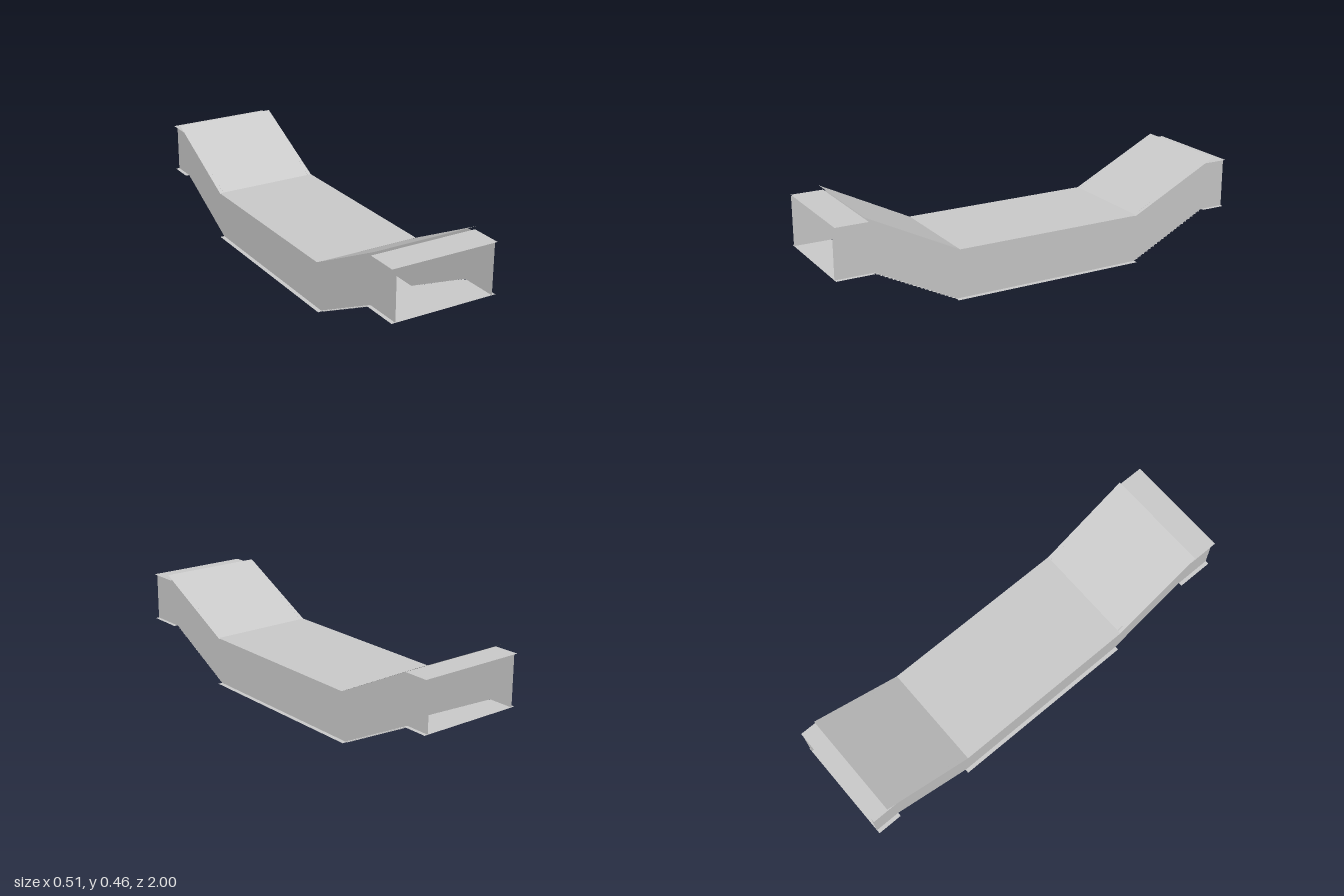
import * as THREE from 'three';

const material = new THREE.MeshStandardMaterial({ color: 0xcccccc, side: THREE.DoubleSide, flatShading: true });

// Sheet swept across x along a path of [z, y] points
function sheet(name, path, halfWidth) {
  const pos = [];
  for (let i = 0; i < path.length - 1; i++) {
    const [z0, y0] = path[i], [z1, y1] = path[i + 1];
    const a = [-halfWidth, y0, z0], b = [halfWidth, y0, z0];
    const c = [halfWidth, y1, z1], d = [-halfWidth, y1, z1];
    pos.push(...a, ...c, ...b, ...a, ...d, ...c);
  }
  const geo = new THREE.BufferGeometry();
  geo.setAttribute('position', new THREE.Float32BufferAttribute(pos, 3));
  geo.computeVertexNormals();
  const mesh = new THREE.Mesh(geo, material);
  mesh.name = name;
  return mesh;
}

// Stair path climbing from z0 to z1: riser, then tread
function stairPath(z0, z1, height, count) {
  const path = [[z0, 0]];
  for (let i = 1; i <= count; i++) {
    const y = (height * i) / count;
    path.push([z0 + ((z1 - z0) * (i - 1)) / count, y]);
    path.push([z0 + ((z1 - z0) * i) / count, y]);
  }
  return path;
}

export function createModel() {
  const group = new THREE.Group();
  group.name = 'underpass';
  const slabHalf = 0.255, stairHalf = 0.234, wallX = 0.237;

  // Floors and landings
  group.add(sheet('tunnelFloor', [[0.44, 0.003], [-0.5, 0.003]], slabHalf));
  group.add(sheet('frontLanding', [[1, 0.2], [0.825, 0.2]], slabHalf));
  group.add(sheet('backLanding', [[-0.88, 0.2], [-1, 0.2]], slabHalf));

  // Stairs at both ends
  group.add(sheet('frontStairs', stairPath(0.44, 0.83, 0.197, 21), stairHalf));
  group.add(sheet('backStairs', stairPath(-0.5, -0.89, 0.197, 21), stairHalf));

  // Roof: flat middle, slopes running slightly past the flat end roofs
  group.add(sheet('tunnelRoof', [[0.43, 0.237], [-0.49, 0.237]], slabHalf));
  group.add(sheet('frontRoofSlope', [[0.865, 0.455], [0.425, 0.234]], slabHalf));
  group.add(sheet('backRoofSlope', [[-0.485, 0.234], [-0.925, 0.455]], slabHalf));
  group.add(sheet('frontRoof', [[0.995, 0.432], [0.845, 0.432]], slabHalf));
  group.add(sheet('backRoof', [[-0.88, 0.432], [-1, 0.432]], slabHalf));

  // Side walls, outlined in z and y
  const outline = [
    [1, 0.2], [1, 0.432], [0.82, 0.432], [0.43, 0.237], [-0.49, 0.237], [-0.88, 0.432],
    [-1, 0.432], [-1, 0.2], [-0.88, 0.2], [-0.495, 0.005], [0.435, 0.005], [0.82, 0.2],
  ];
  const shape = new THREE.Shape(outline.map(([z, y]) => new THREE.Vector2(-z, y)));
  const wallGeo = new THREE.ShapeGeometry(shape).rotateY(Math.PI / 2);
  for (const [name, side] of [['leftWall', 1], ['rightWall', -1]]) {
    const wall = new THREE.Mesh(wallGeo, material);
    wall.name = name;
    wall.position.x = side * wallX;
    group.add(wall);
  }
  return group;
}
